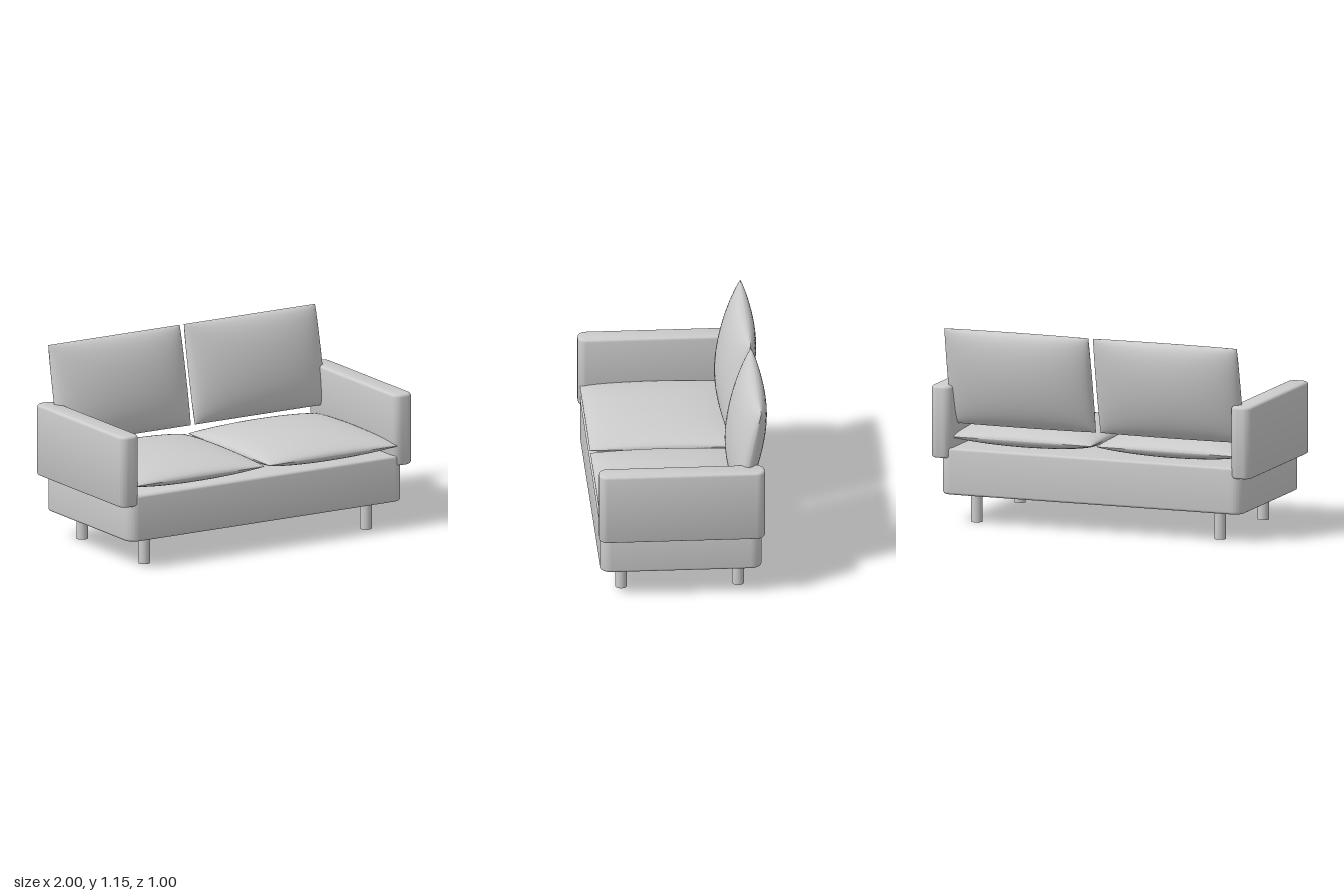
import * as THREE from 'three';
import { mergeGeometries, mergeVertices, toCreasedNormals } from 'three/addons/utils/BufferGeometryUtils.js';

const material = new THREE.MeshStandardMaterial({ color: 0xcccccc });

function addMesh(parent, name, geometry, x, y, z) {
  const mesh = new THREE.Mesh(geometry, material);
  mesh.name = name;
  mesh.position.set(x, y, z);
  parent.add(mesh);
  return mesh;
}

// Upholstered block: rounded plan, bevelled top and bottom edges, standing on y = 0
function block(width, height, depth, radius, bevel) {
  const w = width / 2 - bevel, d = depth / 2 - bevel, r = radius - bevel;
  const plan = new THREE.Shape();
  plan.absarc(w - r, d - r, r, 0, Math.PI / 2);
  plan.absarc(-w + r, d - r, r, Math.PI / 2, Math.PI);
  plan.absarc(-w + r, -d + r, r, Math.PI, Math.PI * 1.5);
  plan.absarc(w - r, -d + r, r, Math.PI * 1.5, Math.PI * 2);
  const geometry = new THREE.ExtrudeGeometry(plan, {
    depth: height - 2 * bevel, bevelEnabled: true, bevelThickness: bevel,
    bevelSize: bevel, bevelSegments: 4, curveSegments: 8,
  });
  geometry.rotateX(-Math.PI / 2).translate(0, bevel, 0);
  return toCreasedNormals(geometry, 0.6);
}

// Pillow: two puffed sheets meeting in a straight-sided seam, facing +z
function pillow(width, height, halfThickness) {
  const sheet = new THREE.PlaneGeometry(2, 2, 32, 32);
  const p = sheet.attributes.position;
  for (let i = 0; i < p.count; i++) {
    const u = Math.sin(p.getX(i) * Math.PI / 2);
    const v = Math.sin(p.getY(i) * Math.PI / 2);
    const puff = Math.pow(Math.max(0, (1 - u * u) * (1 - v * v)), 0.45);
    p.setXYZ(i, u * width / 2, v * height / 2, halfThickness * puff);
  }
  sheet.computeVertexNormals();
  return mergeVertices(mergeGeometries([sheet, sheet.clone().rotateY(Math.PI)]));
}

export function createModel() {
  const sofa = new THREE.Group();
  sofa.name = 'sofa';

  addMesh(sofa, 'base', block(1.88, 0.275, 0.94, 0.065, 0.015), 0, 0.17, 0.02);

  const armGeometry = block(0.128, 0.425, 0.965, 0.05, 0.017);
  const legGeometry = new THREE.CylinderGeometry(0.034, 0.034, 0.18, 24);
  const seatGeometry = pillow(0.885, 0.89, 0.08).rotateX(-Math.PI / 2);
  const backGeometry = pillow(0.9, 0.588, 0.1).rotateX(-0.208);

  // Mirrored parts on each side
  for (const [side, s] of [['left', 1], ['right', -1]]) {
    addMesh(sofa, side + 'Arm', armGeometry, s * 0.936, 0.385, 0.0175);
    addMesh(sofa, side + 'SeatCushion', seatGeometry, s * 0.459, 0.505, 0.045);
    addMesh(sofa, side + 'BackCushion', backGeometry, s * 0.464, 0.863, -0.386);
    addMesh(sofa, side + 'FrontLeg', legGeometry, s * 0.76, 0.09, 0.358);
    addMesh(sofa, side + 'BackLeg', legGeometry, s * 0.76, 0.09, -0.321);
  }
  return sofa;
}
